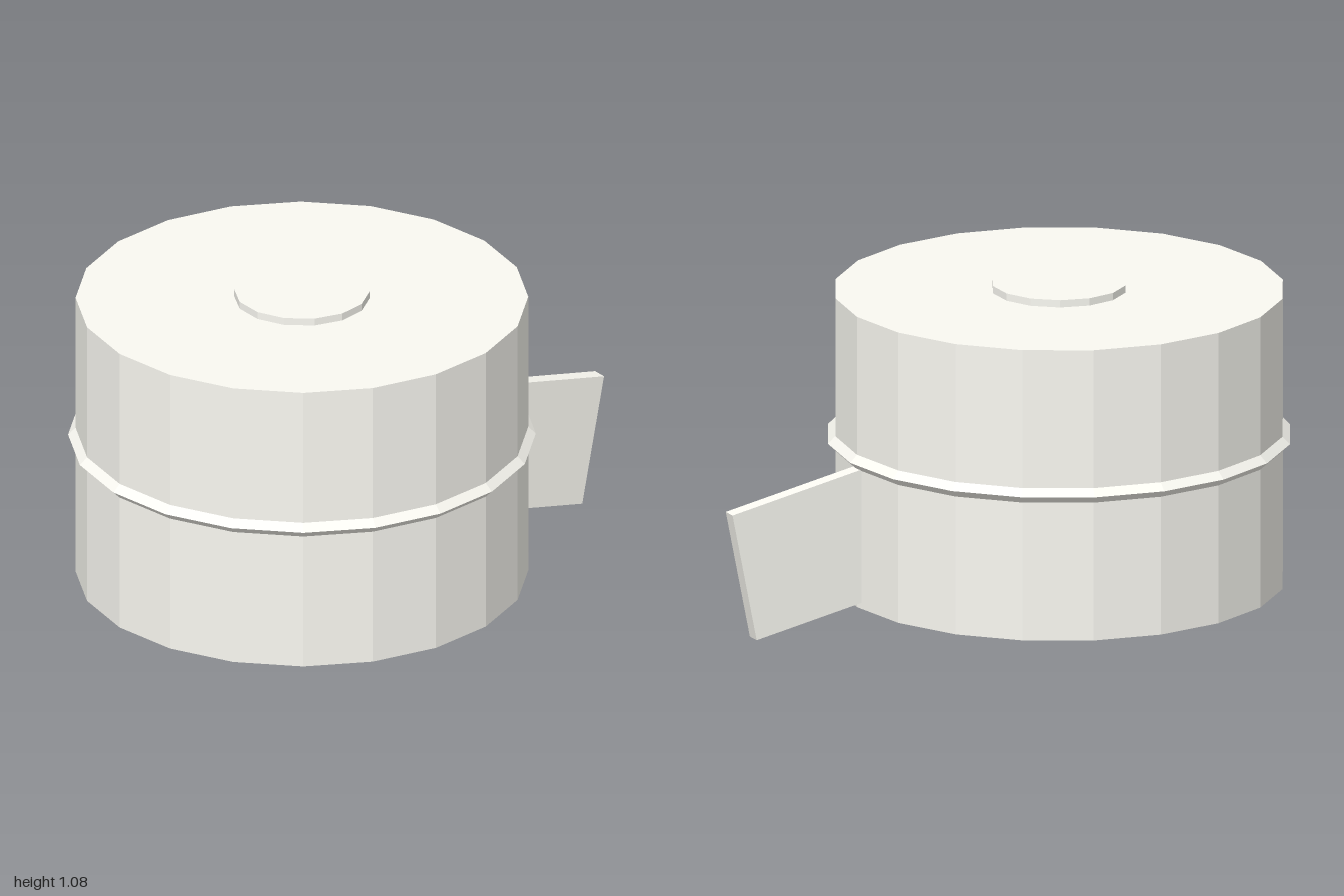
import * as THREE from 'three';

export function createModel() {
  const group = new THREE.Group();
  const material = new THREE.MeshStandardMaterial({ color: 0xfaf9f2, flatShading: true });
  const axisX = -0.224; // the drum sits off centre, balanced by the tab
  const midY = 0.559;

  const add = (name, geometry, x, y) => {
    const mesh = new THREE.Mesh(geometry, material);
    mesh.name = name;
    mesh.position.set(x, y, 0);
    group.add(mesh);
    return mesh;
  };

  // Twenty-sided drum
  add('drum', new THREE.CylinderGeometry(0.75, 0.75, 1, 20), axisX, midY);

  // Hub running through, standing slightly proud of both ends
  add('hub', new THREE.CylinderGeometry(0.225, 0.225, 1.05, 14), axisX, midY);

  // Diamond-section band around the middle
  const band = new THREE.TorusGeometry(0.75, 0.025, 4, 20).rotateX(Math.PI / 2);
  add('middleBand', band, axisX, midY);

  // Thin tab sloping down and outward from the side
  const slope = 0.2, length = 0.6;
  const tab = new THREE.BoxGeometry(length, 0.45, 0.05).translate(-length / 2, 0, 0);
  add('sideTab', tab, 0.955, 0.221).rotation.z = -slope;

  return group;
}
